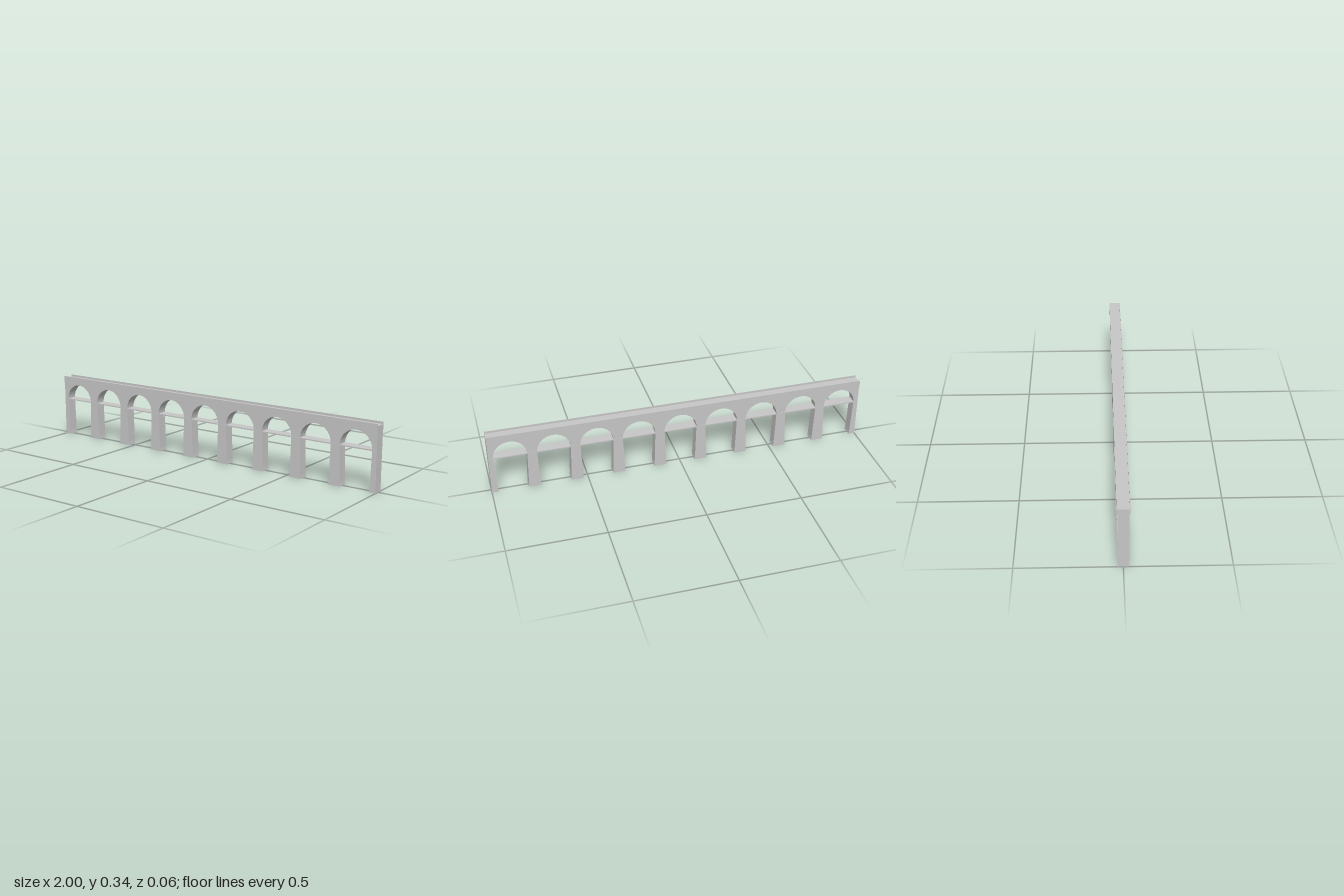
import * as THREE from 'three';

export function createModel() {
  const group = new THREE.Group();
  group.name = 'viaduct';
  const stone = new THREE.MeshStandardMaterial({ color: 0xc6c6c6 });
  stone.name = 'light grey stone';

  const arches = 9, pitch = 2 / arches, radius = 0.0865;
  const springY = 0.208, wallTop = 0.3005, depth = 0.053;

  // Arcade wall: one outline, running over the top and back along the arches
  const outline = new THREE.Shape();
  outline.moveTo(1, 0);
  outline.lineTo(1, wallTop);
  outline.lineTo(-1, wallTop);
  outline.lineTo(-1, 0);
  for (let i = 0; i < arches; i++) {
    const cx = -1 + (i + 0.5) * pitch;
    // flared foot and tapering side of the left pier
    outline.lineTo(cx - 0.078, 0);
    outline.lineTo(cx - 0.08, 0.02);
    outline.lineTo(cx - radius, springY);
    outline.absarc(cx, springY, radius, Math.PI, 0, true);
    // the right pier, down to the ground
    outline.lineTo(cx + 0.08, 0.02);
    outline.lineTo(cx + 0.078, 0);
  }
  outline.closePath();
  const arcadeGeometry = new THREE.ExtrudeGeometry(outline, { depth, bevelEnabled: false, curveSegments: 16 });
  arcadeGeometry.translate(0, 0, -depth / 2);
  const arcade = new THREE.Mesh(arcadeGeometry, stone);
  arcade.name = 'arcade';
  group.add(arcade);

  // Full-length horizontal members
  function beam(name, y0, y1, width, z = 0) {
    const mesh = new THREE.Mesh(new THREE.BoxGeometry(2, y1 - y0, width), stone);
    mesh.name = name;
    mesh.position.set(0, (y0 + y1) / 2, z);
    group.add(mesh);
  }
  beam('lowerWalkway', 0.204, 0.21, 0.056);
  beam('deck', wallTop, 0.327, 0.061);
  for (const side of [-1, 1]) {
    beam(side > 0 ? 'frontParapet' : 'backParapet', 0.327, 0.338, 0.002, side * 0.0295);
  }
  return group;
}
